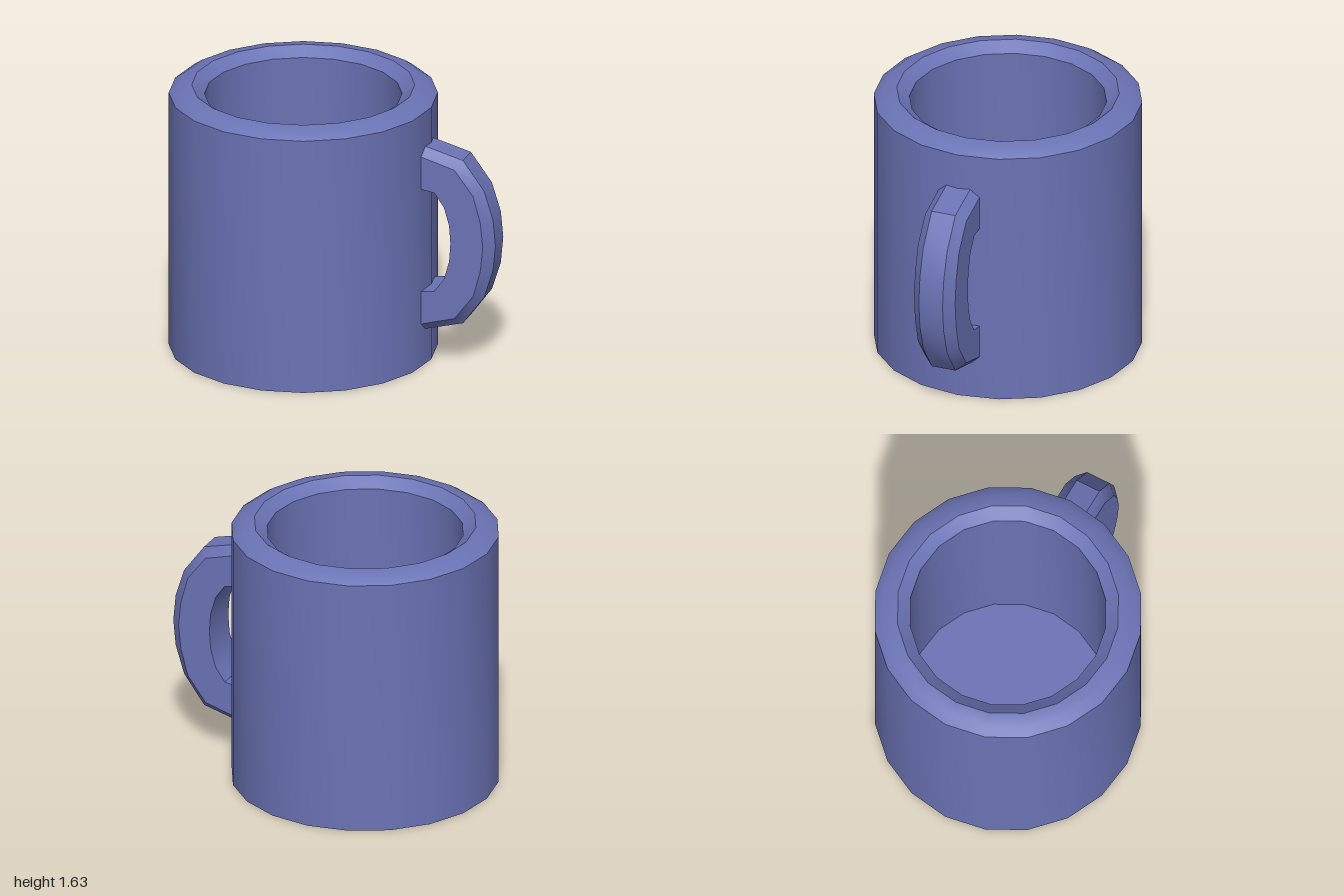
import * as THREE from 'three';
import { toCreasedNormals } from 'three/addons/utils/BufferGeometryUtils.js';

const CREASE = 0.56;
const MID_Y = 0.793; // height of the handle's mirror plane

// Handle half-stations from the wall to the middle: [x, height above MID_Y]
const OUTER = [[0.5, 0.593], [0.8, 0.512], [0.93, 0.335], [0.985, 0.16], [1, 0]];
const BEVEL = [[0.5, 0.543], [0.765, 0.467], [0.88, 0.315], [0.925, 0.15], [0.94, 0]];
const INNER = [[0.5, 0.33], [0.64, 0.31], [0.7, 0.225], [0.732, 0.113], [0.74, 0]];

// Mirror a half path downwards into a full path
function fullPath(half) {
  const lower = half.slice(0, -1).reverse().map(([x, y]) => [x, -y]);
  return [...half, ...lower];
}

// Six-sided bar with bevelled outer edges, swept through the stations
function handleGeometry() {
  const outer = fullPath(OUTER), bevel = fullPath(BEVEL), inner = fullPath(INNER);
  const pos = [], idx = [];
  outer.forEach((o, s) => {
    const ring = [
      [inner[s], -0.13], [inner[s], 0.13], [bevel[s], 0.13],
      [o, 0.075], [o, -0.075], [bevel[s], -0.13],
    ];
    for (const [[x, y], z] of ring) pos.push(x, y + MID_Y, z);
    if (s === 0) return;
    for (let i = 0; i < 6; i++) {
      const a = (s - 1) * 6 + i, b = (s - 1) * 6 + (i + 1) % 6;
      idx.push(a, a + 6, b + 6, a, b + 6, b);
    }
  });
  const geo = new THREE.BufferGeometry();
  geo.setAttribute('position', new THREE.Float32BufferAttribute(pos, 3));
  geo.setIndex(idx);
  return toCreasedNormals(geo, CREASE);
}

export function createModel() {
  const group = new THREE.Group();
  group.name = 'mug';
  const material = new THREE.MeshStandardMaterial({ color: 0x6b73b5 });

  // Hollow cup: base, outer wall, rounded rim, inner wall, floor
  const profile = [
    [0, 0], [0.79, 0], [0.79, 1.585], [0.735, 1.623], [0.655, 1.635],
    [0.58, 1.58], [0.58, 0.15], [0, 0.15],
  ].map(([r, y]) => new THREE.Vector2(r, y));
  const cup = new THREE.Mesh(toCreasedNormals(new THREE.LatheGeometry(profile, 20), CREASE), material);
  cup.name = 'cup';
  cup.position.x = -0.21;
  group.add(cup);

  // Handle, its ends sunk into the wall
  const handle = new THREE.Mesh(handleGeometry(), material);
  handle.name = 'handle';
  group.add(handle);

  return group;
}
